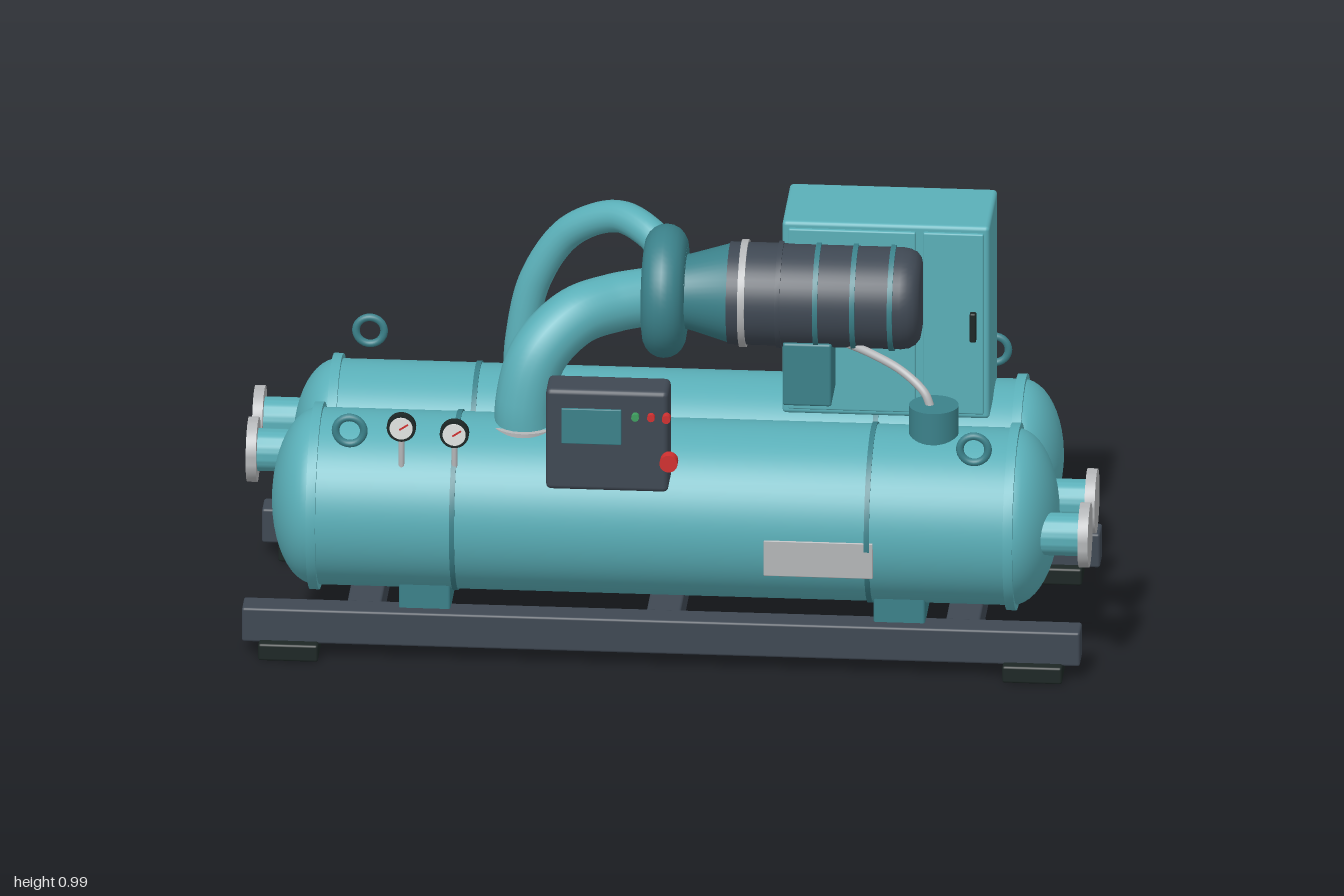
import * as THREE from 'three';
import { RoundedBoxGeometry } from 'three/addons/geometries/RoundedBoxGeometry.js';
import { toCreasedNormals } from 'three/addons/utils/BufferGeometryUtils.js';

const mat = (name, color) => {
  const m = new THREE.MeshStandardMaterial({ color });
  m.name = name;
  return m;
};

export function createModel() {
  const model = new THREE.Group();
  model.name = 'waterChiller';
  const teal = mat('teal', 0x5aafb8), darkTeal = mat('dark teal', 0x3b818a);
  const charcoal = mat('charcoal', 0x3f4853), rubber = mat('rubber black', 0x1d2725);
  const steel = mat('pale steel', 0xb4b6b8), red = mat('red', 0xd03030);
  const white = mat('dial white', 0xe4e6e4), green = mat('lamp green', 0x3fa060);

  const add = (name, geo, material, x = 0, y = 0, z = 0, parent = model) => {
    const m = new THREE.Mesh(geo, material);
    m.name = name;
    m.position.set(x, y, z);
    parent.add(m);
    return m;
  };
  // Box given by its extents on each axis, with softened edges
  const box = (name, material, [x0, x1], [y0, y1], [z0, z1], r = 0.006) =>
    add(name, new RoundedBoxGeometry(x1 - x0, y1 - y0, z1 - z0, 2, r), material,
      (x0 + x1) / 2, (y0 + y1) / 2, (z0 + z1) / 2);
  // Solid turned around the x axis from [x, radius] points
  const turnedX = (name, pts, material, y, z, segs = 48) => {
    const g = new THREE.LatheGeometry(pts.map(([x, r]) => new THREE.Vector2(r, x)), segs);
    g.rotateZ(-Math.PI / 2);
    return add(name, toCreasedNormals(g, 0.6), material, 0, y, z);
  };
  const discX = (name, x0, x1, r, material, y, z) =>
    turnedX(name, [[x0, 0], [x0, r], [x1, r], [x1, 0]], material, y, z);
  const pipe = (name, pts, r, material) => {
    const curve = new THREE.CatmullRomCurve3(pts.map(p => new THREE.Vector3(...p)));
    return add(name, new THREE.TubeGeometry(curve, 48, r, 20), material);
  };

  // Skid: long rails, cross members and feet
  for (const z of [0.275, -0.325]) {
    box('skidRail', charcoal, [-0.98, 0.98], [0.036, 0.121], [z - 0.035, z + 0.035]);
    for (const s of [-1, 1])
      box('skidFoot', rubber, [s * 0.87 - 0.07, s * 0.87 + 0.07], [0, 0.042], [z - 0.061, z + 0.061]);
  }
  for (const x of [-0.7, 0, 0.7])
    box('crossMember', charcoal, [x - 0.04, x + 0.04], [0.042, 0.112], [-0.3, 0.25]);

  // Two pressure vessels with domed ends, flanges, seams, saddles and nozzles
  const vessel = (name, y, z, r, flangeX, endX, seamX, nozzleSide, nozzleZ) => {
    const dome = [];
    for (let i = 0; i <= 12; i++) {
      const a = (i / 12) * Math.PI / 2;
      dome.push([flangeX + (endX - flangeX) * Math.cos(a), r * Math.sin(a)]);
    }
    const pts = [...dome.map(([x, q]) => [-x, q]), ...dome.slice().reverse()];
    turnedX(name + 'Shell', pts, teal, y, z, 64);
    for (const s of [-1, 1]) {
      discX(name + 'Flange', s * flangeX - 0.011, s * flangeX + 0.011, r + 0.012, teal, y, z);
      discX(name + 'Seam', s * seamX - 0.006, s * seamX + 0.006, r + 0.004, darkTeal, y, z);
      box(name + 'Saddle', darkTeal, [s * 0.555 - 0.06, s * 0.555 + 0.06], [0.11, 0.23], [z - 0.12, z + 0.12]);
      // Lifting eyes
      add(name + 'LiftingEye', new THREE.TorusGeometry(0.033, 0.009, 12, 32), darkTeal,
        s * 0.73, 0.565, z > 0 ? 0.279 : -0.329);
    }
    for (const nz of nozzleZ) {
      const ends = (a, b) => [a * nozzleSide, b * nozzleSide].sort((p, q) => p - q);
      discX(name + 'Nozzle', ...ends(0.84, 0.98), 0.05, teal, y, nz);
      discX(name + 'NozzleFlange', ...ends(0.976, 1), 0.076, steel, y, nz);
    }
  };
  vessel('frontVessel', 0.348, 0.158, 0.207, 0.815, 0.92, 0.485, 1, [0.257, 0.05]);
  vessel('rearVessel', 0.337, -0.225, 0.184, 0.8, 0.9, 0.47, -1, [-0.327, -0.135]);

  // Identification plate on the front shell
  box('ratingPlate', steel, [0.245, 0.5], [0.266, 0.355], [0.359, 0.368], 0.002);

  // Compressor: volute, adapter cone, motor and its bands
  const cy = 0.817, cz = -0.02;
  const volute = add('volute', new THREE.TorusGeometry(0.107, 0.05, 20, 56), darkTeal, -0.015, cy, cz);
  volute.rotation.y = Math.PI / 2;
  discX('voluteHub', -0.05, 0.035, 0.105, darkTeal, cy, cz);
  turnedX('adapterCone', [[0, 0], [0, 0.085], [0.04, 0.088], [0.135, 0.116], [0.15, 0]], darkTeal, cy, cz);
  turnedX('motor', [[0.135, 0], [0.135, 0.12], [0.54, 0.12], [0.558, 0.117], [0.572, 0.109],
    [0.582, 0.096], [0.585, 0.08], [0.585, 0]], charcoal, cy, cz);
  discX('motorClampBand', 0.162, 0.178, 0.126, steel, cy, cz);
  for (const x of [0.255, 0.343, 0.43, 0.518])
    discX('motorBand', x - 0.006, x + 0.006, 0.125, x < 0.3 ? charcoal : darkTeal, cy, cz);
  box('terminalBox', darkTeal, [0.266, 0.38], [0.573, 0.73], [-0.06, 0.07]);

  // Suction elbow and discharge pipe
  pipe('suctionElbow', [[-0.33, 0.5, 0.152], [-0.33, 0.6, 0.152], [-0.3, 0.71, 0.132],
    [-0.22, 0.785, 0.08], [-0.13, 0.802, 0.025], [-0.03, 0.805, -0.02]], 0.069, teal);
  add('suctionCollar', new THREE.CylinderGeometry(0.083, 0.083, 0.03, 40), steel, -0.33, 0.535, 0.152);
  pipe('dischargePipe', [[-0.375, 0.46, -0.23], [-0.368, 0.6, -0.232], [-0.335, 0.75, -0.235],
    [-0.255, 0.875, -0.222], [-0.14, 0.937, -0.175], [-0.06, 0.925, -0.11], [-0.015, 0.89, -0.07]], 0.038, teal);

  // Relief valve pot and its flexible line
  add('valvePot', new THREE.CylinderGeometry(0.058, 0.058, 0.1, 32), darkTeal, 0.627, 0.575, 0.16);
  pipe('flexibleLine', [[0.4, 0.72, 0.02], [0.47, 0.713, 0.07], [0.55, 0.69, 0.12],
    [0.605, 0.65, 0.152], [0.62, 0.615, 0.16]], 0.01, steel);

  // Electrical cabinet with two doors and a handle
  box('cabinet', teal, [0.255, 0.74], [0.5, 0.985], [-0.295, -0.058], 0.01);
  box('wideDoor', teal, [0.27, 0.568], [0.515, 0.97], [-0.065, -0.049], 0.004);
  box('narrowDoor', teal, [0.585, 0.727], [0.515, 0.97], [-0.065, -0.049], 0.004);
  box('doorHandle', rubber, [0.695, 0.71], [0.702, 0.775], [-0.052, -0.034], 0.004);

  // Control panel on its bracket
  box('panelBracket', darkTeal, [-0.158, -0.083], [0.455, 0.578], [0.21, 0.32]);
  box('controlPanel', charcoal, [-0.262, 0.024], [0.482, 0.735], [0.306, 0.402], 0.012);
  box('panelScreen', darkTeal, [-0.225, -0.085], [0.602, 0.69], [0.4, 0.408], 0.002);
  const knob = (name, x, y, r, depth, material) =>
    add(name, new THREE.CylinderGeometry(r, r, depth, 24), material, x, y, 0.4 + depth / 2).rotation.x = Math.PI / 2;
  knob('greenLamp', -0.052, 0.675, 0.009, 0.016, green);
  knob('redLamp', -0.015, 0.675, 0.009, 0.016, red);
  knob('redButton', 0.021, 0.675, 0.01, 0.022, red);
  knob('emergencyStop', 0.027, 0.566, 0.021, 0.027, red);

  // Pressure gauges on stems
  for (const [x, y] of [[-0.607, 0.588], [-0.483, 0.576]]) {
    const gauge = new THREE.Group();
    gauge.name = 'pressureGauge';
    gauge.position.set(x, y, 0.303);
    model.add(gauge);
    add('gaugeStem', new THREE.CylinderGeometry(0.007, 0.007, 0.1, 12), steel, 0, -0.06, 0, gauge);
    add('gaugeCase', new THREE.CylinderGeometry(0.034, 0.034, 0.018, 32), rubber, 0, 0, 0, gauge).rotation.x = Math.PI / 2;
    add('gaugeDial', new THREE.CylinderGeometry(0.027, 0.027, 0.004, 32), white, 0, 0, 0.01, gauge).rotation.x = Math.PI / 2;
    add('gaugeNeedle', new THREE.BoxGeometry(0.024, 0.004, 0.003), red, 0.006, 0.004, 0.0125, gauge).rotation.z = 0.6;
  }
  return model;
}
